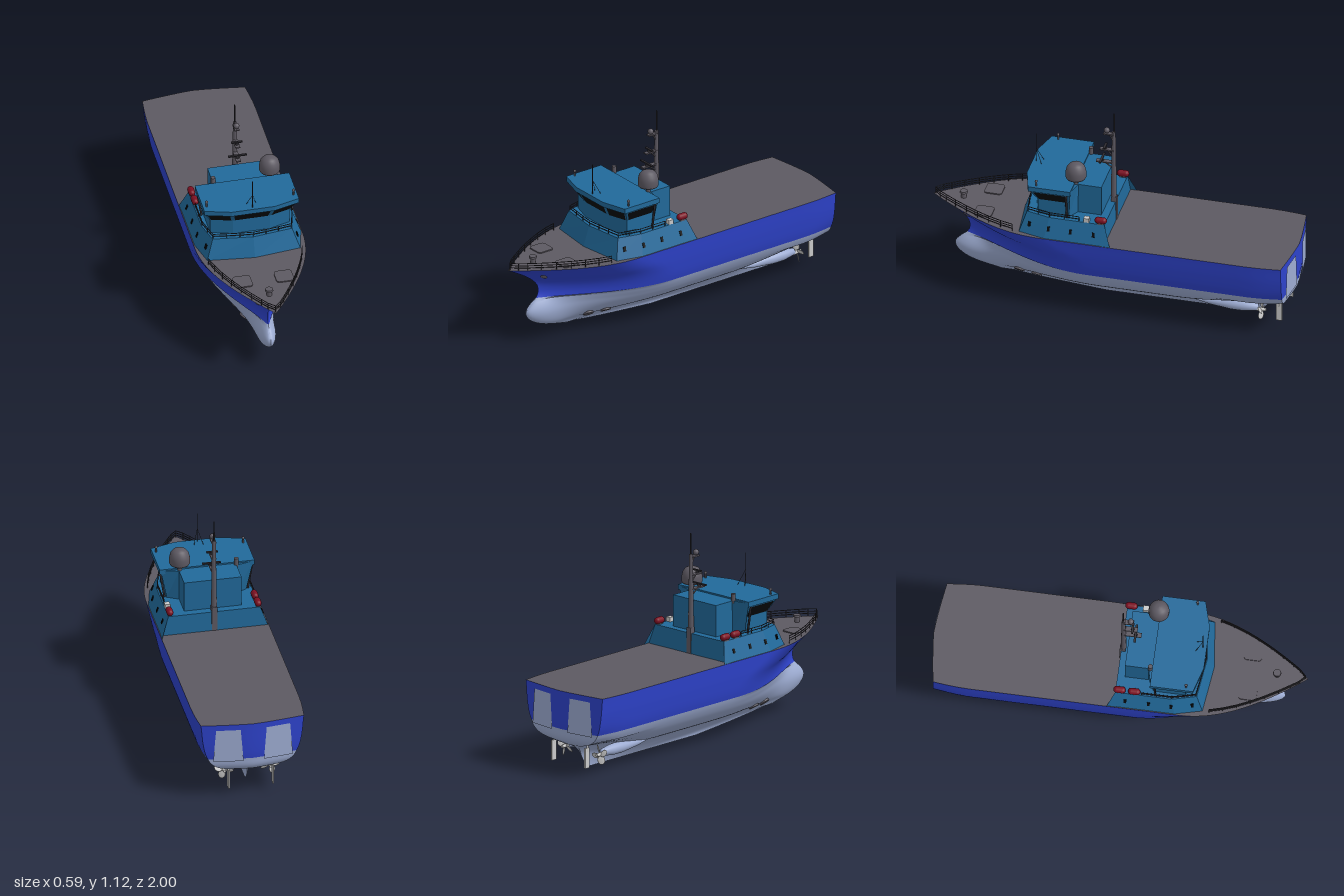
import * as THREE from 'three';
import { toCreasedNormals } from 'three/addons/utils/BufferGeometryUtils.js';

const V = (x, y, z) => new THREE.Vector3(x, y, z);
const mat = (color, side = THREE.FrontSide) => new THREE.MeshStandardMaterial({ color, side });
const BLUE = mat(0x2e43cc), BOTTOM = mat(0x9dacd2), HOUSE = mat(0x21699a), DECK = mat(0x5d5962);
const DARK = mat(0x2e2c32), GLASS = mat(0x07090b, THREE.DoubleSide), RED = mat(0x7d1022), GREY = mat(0xcccccc);
const DECK_Y = 0.46, SPLIT_Y = 0.25;
const clamp = (v) => Math.min(1, Math.max(0, v));

// Smooth lookup through [y, value] pairs
function curve(pairs) {
  const f = new THREE.CubicInterpolant(pairs.map((p) => p[0]), pairs.map((p) => p[1]), 1);
  return (y) => f.evaluate(y)[0];
}
const beam = curve([[0, 0], [0.03, 0.02], [0.06, 0.045], [0.08, 0.07], [0.105, 0.127], [0.135, 0.175], [0.17, 0.215], [0.21, 0.243], [0.25, 0.261], [0.35, 0.281], [0.46, 0.293]]);
const stem = curve([[0, 0.05], [0.02, 0.3], [0.04, 0.5], [0.07, 0.7], [0.1, 0.8], [0.14, 0.86], [0.18, 0.875], [0.22, 0.845], [0.25, 0.81], [0.28, 0.797], [0.32, 0.802], [0.36, 0.835], [0.41, 0.905], [0.46, 0.995]]);
const stern = curve([[0, -0.77], [0.03, -0.81], [0.06, -0.83], [0.1, -0.85], [0.13, -0.88], [0.155, -0.93], [0.18, -0.957], [0.25, -0.965], [0.46, -0.967]]);
const sternFraction = curve([[0, 0.02], [0.1, 0.05], [0.13, 0.12], [0.155, 0.4], [0.18, 0.72], [0.21, 0.87], [0.25, 0.92], [0.46, 0.95]]);
const bulb = curve([[0, 0], [0.06, 0.02], [0.1, 0.045], [0.14, 0.058], [0.18, 0.06], [0.22, 0.047], [0.25, 0.025], [0.27, 0], [0.36, 0], [0.46, 0]]);

// Half-width of the hull at height y and length z
function hullX(y, z) {
  const tip = stem(y), low = clamp((0.4 - y) / 0.2);
  const entry = y < 0.25 ? Math.min(tip, 0.79) : tip;
  const a = Math.sin(clamp((entry - z) / (0.65 + 0.1 * low)) * Math.PI / 2) ** (y > 0.36 ? 0.95 : 1 + 0.15 * low);
  const run = y < 0.2 ? 0.5 : 0.2, e = sternFraction(y);
  const g = e + (1 - e) * Math.sin(clamp((z - stern(y)) / run) * Math.PI / 2);
  const s = tip > 0.63 ? clamp((z - 0.62) / (tip - 0.62)) : 1;
  const b = Math.max(0, bulb(y)) * Math.sqrt(1 - s * s) * clamp(z + 0.2);
  return Math.cbrt((beam(y) * a * g) ** 3 + b ** 3);
}

// One waterline: stem, left side, transom, right side, stem
function waterline(y) {
  const left = [], N = 48, z0 = stem(y), z1 = stern(y);
  for (let i = 0; i <= N; i++) {
    const z = z0 - (z0 - z1) * (i / N) ** 1.6;
    left.push(V(i ? hullX(y, z) : 0, y, z));
  }
  const w = left[N].x, across = [];
  for (let i = 1; i < 10; i++) {
    const k = 1 - i / 5;
    across.push(V(w * k, y, z1 - 0.033 * (1 - Math.abs(k) ** 1.3) * clamp(w / 0.25)));
  }
  return [...left, ...across, ...left.map((p) => V(-p.x, y, p.z)).reverse()];
}

// Skin between rings of equal length
function skin(rings, closed, cap) {
  const pos = [], put = (...ps) => ps.forEach((p) => pos.push(p.x, p.y, p.z));
  const n = rings[0].length;
  for (let j = 0; j + 1 < rings.length; j++) {
    for (let i = 0; i < (closed ? n : n - 1); i++) {
      const k = (i + 1) % n, a = rings[j], b = rings[j + 1];
      put(a[i], a[k], b[k], a[i], b[k], b[i]);
    }
  }
  const top = rings[rings.length - 1];
  if (cap) for (let i = 1; i < n - 1; i++) put(top[0], top[i], top[i + 1]);
  const g = new THREE.BufferGeometry();
  g.setAttribute('position', new THREE.Float32BufferAttribute(pos, 3));
  g.computeVertexNormals();
  return g;
}
// Mirrored plan outline, given from aft to front as [x, z]
const ring = (half, y) => [...half.map(([x, z]) => V(-x, y, z)), ...half.map(([x, z]) => V(x, y, z)).reverse()];

export function createModel() {
  const model = new THREE.Group();
  const add = (name, geo, material, x = 0, y = 0, z = 0, parent = model) => {
    const m = new THREE.Mesh(geo, material);
    m.name = name;
    m.position.set(x, y, z);
    parent.add(m);
    return m;
  };
  const box = (name, w, h, d, material, x, y, z) => add(name, new THREE.BoxGeometry(w, h, d), material, x, y, z);
  const cyl = (name, r0, r1, h, material, x, y, z, n = 20) => add(name, new THREE.CylinderGeometry(r1, r0, h, n), material, x, y + h / 2, z);
  const strut = (name, a, b, r, parent = model, material = DARK) => {
    const m = add(name, new THREE.CylinderGeometry(r, r, a.distanceTo(b), 6), material, 0, 0, 0, parent);
    m.position.copy(a).lerp(b, 0.5);
    m.quaternion.setFromUnitVectors(V(0, 1, 0), b.clone().sub(a).normalize());
  };
  const railing = (name, pts, heights) => {
    const g = new THREE.Group();
    g.name = name;
    model.add(g);
    const up = (p, h) => V(p.x, p.y + h, p.z);
    pts.forEach((p, i) => {
      strut('railPost', p, up(p, heights[heights.length - 1]), 0.0022, g);
      if (i) heights.forEach((h) => strut('railBar', up(pts[i - 1], h), up(p, h), 0.0022, g));
    });
  };

  // Hull, with underwater part and topsides
  const hull = (name, y0, y1, n, material) => {
    const rings = Array.from({ length: n + 1 }, (_, i) => waterline(y0 + (y1 - y0) * i / n));
    add(name, toCreasedNormals(skin(rings, false), 0.6), material);
  };
  hull('lowerHull', 0, SPLIT_Y, 26, BOTTOM);
  hull('upperHull', SPLIT_Y, DECK_Y, 12, BLUE);
  const outline = waterline(DECK_Y).slice(0, -1).map((p) => new THREE.Vector2(p.x, -p.z));
  add('mainDeck', new THREE.ShapeGeometry(new THREE.Shape(outline)), DECK, 0, DECK_Y).rotation.x = -Math.PI / 2;

  // Fittings lying on the hull surface
  const onHull = (name, geo, material, y, z, side) => {
    const x = hullX(y, z), d = 0.01;
    const n = V(side, -(hullX(y + d, z) - hullX(y - d, z)) / (2 * d), -(hullX(y, z + d) - hullX(y, z - d)) / (2 * d));
    add(name, geo, material, side * x, y, z).quaternion.setFromUnitVectors(V(0, 1, 0), n.normalize());
  };
  for (const s of [-1, 1]) {
    for (const z of [0.41, 0.51]) onHull('thrusterTunnel', new THREE.CylinderGeometry(0.028, 0.028, 0.014, 24), DECK, 0.1, z, s);
    onHull('anchorPocket', new THREE.SphereGeometry(0.026, 16, 8).scale(0.9, 0.25, 0.55), DECK, 0.39, 0.8, s);

    // Stern panels
    const zAt = (x) => -0.972 - 0.033 * (1 - (x / 0.275) ** 1.3);
    const panel = [0.43, 0.24].map((y, i) => [0.07 - i * 0.015, 0.2 + i * 0.015].map((x) => V(s * x, y, zAt(x))));
    add('sternPanel', skin(panel, false), mat(0x9dacd2, THREE.DoubleSide));

    // Shaft fairing, propeller and rudder
    const profile = [[0, -0.13], [0.018, -0.125], [0.03, -0.05], [0.03, 0.02], [0.018, 0.14], [0, 0.24]].map(([r, h]) => new THREE.Vector2(r, h));
    add('shaftFairing', new THREE.LatheGeometry(profile, 20), BOTTOM, s * 0.12, 0.105, -0.68).rotation.x = Math.PI / 2;
    const prop = new THREE.Group();
    prop.name = 'propeller';
    prop.position.set(s * 0.125, 0.098, -0.825);
    model.add(prop);
    add('hub', new THREE.CylinderGeometry(0.012, 0.008, 0.05, 16), GREY, 0, 0, 0, prop).rotation.x = Math.PI / 2;
    for (let i = 0; i < 4; i++) {
      const arm = new THREE.Group();
      arm.rotation.z = i * Math.PI / 2 + 0.35 * s;
      prop.add(arm);
      add('blade', new THREE.SphereGeometry(0.024, 14, 10).scale(0.85, 1, 0.12), GREY, 0, 0.031, 0, arm).rotation.y = 0.6 * s;
    }
    box('rudder', 0.008, 0.11, 0.032, GREY, s * 0.12, 0.097, -0.92);
    cyl('rudderStock', 0.006, 0.006, 0.08, GREY, s * 0.12, 0.13, -0.915, 10);
  }

  // Lower deckhouse with sloping sides
  const loft = (name, levels) => add(name, skin(levels.map(([half, y]) => ring(half, y)), true, true), HOUSE);
  const base = [[0.288, -0.005], [0.288, 0.32], [0.252, 0.465], [0, 0.495]];
  const roof = [[0.248, 0], [0.248, 0.3], [0.215, 0.43], [0, 0.458]];
  loft('lowerDeckhouse', [[base, DECK_Y], [roof, 0.57]]);
  for (const s of [-1, 1]) {
    const fin = [[V(s * 0.29, 0.46, 0.01), V(s * 0.29, 0.46, -0.04)], [V(s * 0.249, 0.57, 0.01), V(s * 0.249, 0.57, 0)]];
    add('sideFin', skin(fin, false), mat(0x21699a, THREE.DoubleSide));
    for (const z of [0.055, 0.18, 0.3]) box('porthole', 0.006, 0.026, 0.014, GLASS, s * 0.27, 0.512, z).rotation.z = s * 0.35;
    box('porthole', 0.006, 0.026, 0.014, GLASS, s * 0.248, 0.512, 0.41).rotation.set(0, s * -0.25, s * 0.3);
  }

  // Bridge with flared window band
  const wall = [[0.215, 0.2], [0.215, 0.37], [0.1, 0.405]];
  const flare = [[0.25, 0.19], [0.25, 0.405], [0.115, 0.44]];
  const brow = [[0.256, 0.185], [0.256, 0.415], [0.117, 0.455]];
  loft('bridge', [[wall, 0.57], [wall, 0.655], [flare, 0.72], [brow, 0.722], [brow, 0.75]]);
  loft('aftHouse', [[[[0.155, 0.04], [0.155, 0.2]], 0.57], [[[0.155, 0.04], [0.155, 0.2]], 0.742]]);
  loft('bridgeBack', [[[[0.15, 0.165], [0.215, 0.2]], 0.57], [[[0.155, 0.165], [0.25, 0.19]], 0.742]]);
  const low = ring(wall, 0.655), high = ring(flare, 0.72);
  for (let i = 0; i < 5; i++) {
    const at = (u, v) => low[i].clone().lerp(low[i + 1], u).lerp(high[i].clone().lerp(high[i + 1], u), v);
    const n = at(1, 0).sub(at(0, 0)).cross(at(0, 1).sub(at(0, 0))).normalize().multiplyScalar(0.002);
    const pane = [0.06, 0.95].map((v) => [0.06, 0.94].map((u) => at(u, v).add(n)));
    add('bridgeWindow', skin(pane, false), GLASS);
  }

  // Railings on the foredeck and around the bridge
  const bow = [0.5, 0.57, 0.64, 0.71, 0.78, 0.85, 0.91, 0.95].map((z) => [hullX(DECK_Y, z) * 0.93, z]);
  railing('bowRailing', ring([...bow, [0, 0.982]], DECK_Y), [0.015, 0.027, 0.04]);
  const walk = [[0.243, 0.14], [0.243, 0.22], [0.243, 0.3], [0.228, 0.365], [0.212, 0.425], [0.14, 0.436], [0.07, 0.446], [0, 0.453]];
  railing('bridgeRailing', ring(walk, 0.57), [0.014, 0.027]);

  // Foredeck hatches and capstan
  for (const s of [-1, 1]) {
    const r = 0.018, h = 0.048, hatch = new THREE.Shape();
    [[1, 1, 0], [-1, 1, 1], [-1, -1, 2], [1, -1, 3]].forEach(([x, y, q]) =>
      hatch.absarc(x * (h - r), y * (h - r), r, q * Math.PI / 2, (q + 1) * Math.PI / 2));
    add('hatch', new THREE.ExtrudeGeometry(hatch, { depth: 0.006, bevelEnabled: false }), DECK, s * 0.112, DECK_Y, 0.69).rotation.x = -Math.PI / 2;
  }
  cyl('capstan', 0.014, 0.014, 0.035, DECK, 0, DECK_Y, 0.83);
  cyl('capstanHead', 0.022, 0.02, 0.01, DECK, 0, DECK_Y + 0.03, 0.83);

  // Mast with platforms and scanners
  box('mastFoot', 0.03, 0.14, 0.03, DECK, 0, 0.53, 0.008);
  cyl('mast', 0.016, 0.01, 0.4, DECK, 0, 0.6, 0.012, 12);
  cyl('mastPole', 0.005, 0.003, 0.125, DARK, 0, 0.99, 0.01, 8);
  for (const [y, z, w] of [[0.808, 0.095, 0.05], [0.885, 0.075, 0.03], [0.985, 0.055, 0]]) {
    box('mastPlatform', 0.026, 0.007, z, DECK, 0, y, z / 2 + 0.012);
    strut('platformBrace', V(0, y - 0.035, 0.02), V(0, y, z * 0.7), 0.004, model, DECK);
    if (w) {
      cyl('scannerBase', 0.01, 0.008, 0.016, DARK, 0, y, z * 0.8);
      box('scannerBar', w * 2, 0.007, 0.012, DARK, 0, y + 0.018, z * 0.8);
    }
  }
  add('mastDome', new THREE.SphereGeometry(0.016, 16, 10), DECK, 0, 1.004, 0.05);

  // Radar dome, exhaust and roof fittings
  cyl('domePost', 0.012, 0.012, 0.05, DECK, 0.15, 0.735, 0.18);
  const dome = [[0, 0.78], [0.05, 0.78], [0.055, 0.788], [0.055, 0.82], [0.049, 0.845], [0.034, 0.863], [0.016, 0.87], [0, 0.871]];
  add('radarDome', new THREE.LatheGeometry(dome.map(([r, y]) => new THREE.Vector2(r, y)), 32), DECK, 0.15, 0, 0.18);
  cyl('exhaust', 0.012, 0.012, 0.05, DECK, -0.155, 0.73, 0.175);
  strut('whipAntenna', V(0, 0.75, 0.435), V(0, 0.92, 0.435), 0.0025);
  for (const s of [-1, 1]) {
    strut('antennaStay', V(s * 0.025, 0.75, 0.4), V(0, 0.83, 0.435), 0.0012);
    cyl('lampPost', 0.005, 0.005, 0.025, DECK, s * 0.235, 0.75, 0.375, 10);
    add('lamp', new THREE.SphereGeometry(0.008, 12, 8), DECK, s * 0.235, 0.778, 0.375);
    strut('sidePipe', V(s * 0.225, 0.57, 0.21), V(s * 0.25, 0.73, 0.21), 0.006);
  }

  // Life rafts and locker
  for (const [x, z] of [[-0.238, 0.022], [-0.238, 0.1], [0.238, 0.022]]) {
    add('lifeRaft', new THREE.CapsuleGeometry(0.018, 0.03, 6, 16), RED, x, 0.59, z).rotation.x = Math.PI / 2;
    box('raftCradle', 0.022, 0.012, 0.035, DECK, x, 0.574, z);
  }
  box('locker', 0.028, 0.024, 0.03, GREY, 0.234, 0.582, 0.1);
  return model;
}
